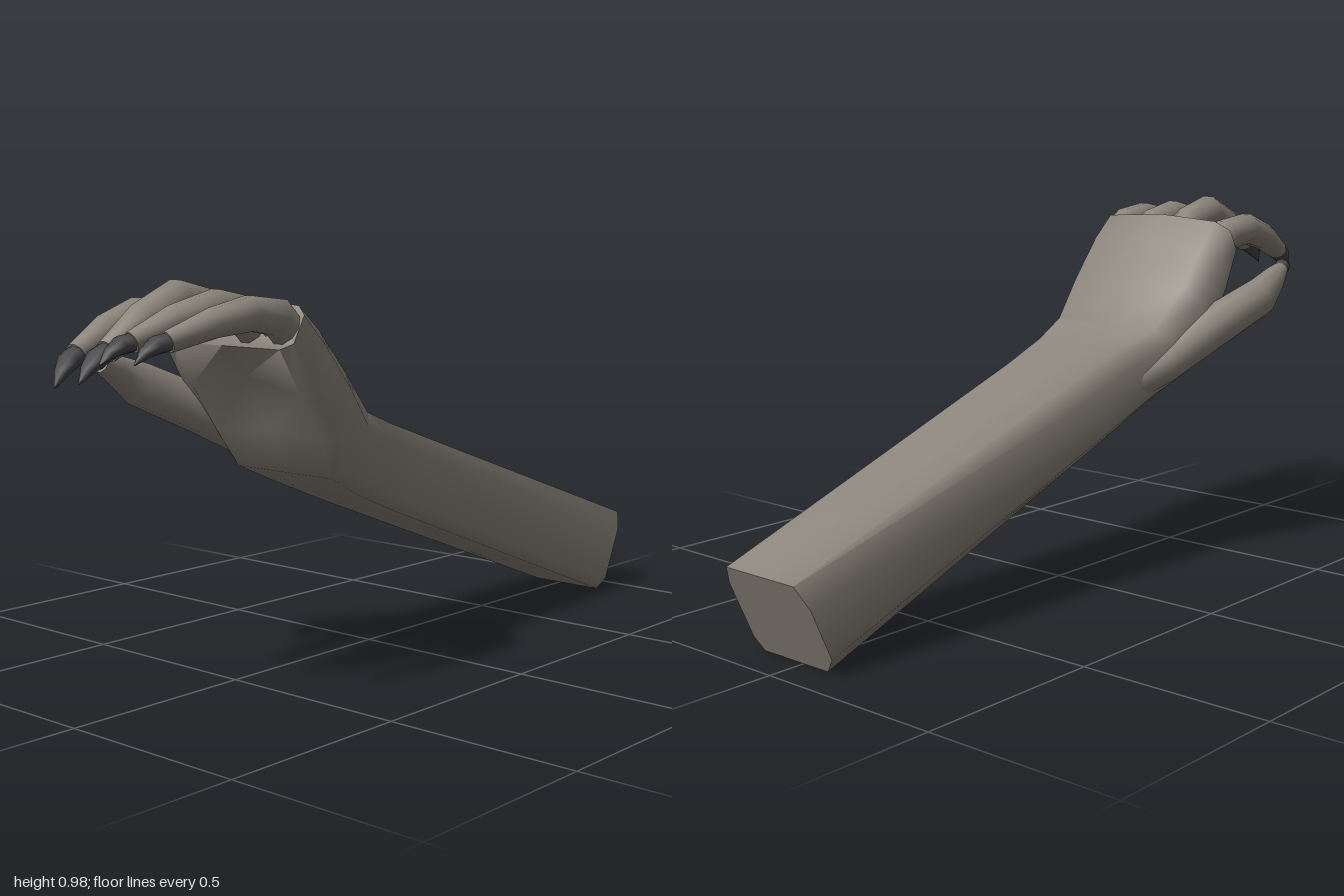
import * as THREE from 'three';
import { toCreasedNormals } from 'three/addons/utils/BufferGeometryUtils.js';

const skin = new THREE.MeshStandardMaterial({ color: 0x8c857b, roughness: 0.9 });
const horn = new THREE.MeshStandardMaterial({ color: 0x47464a, roughness: 0.8 });

// Closed surface through rings of points that run counter-clockwise around the advance
function loft(rings) {
  const n = rings[0].length, last = rings.length - 1;
  const pos = [], idx = [];
  rings.forEach(r => r.forEach(p => pos.push(p.x, p.y, p.z)));
  for (let i = 0; i < last; i++) {
    for (let j = 0; j < n; j++) {
      const a = i * n + j, b = i * n + (j + 1) % n;
      idx.push(a, b, b + n, a, b + n, a + n);
    }
  }
  for (const i of [0, last]) {
    const c = new THREE.Vector3();
    rings[i].forEach(p => c.addScaledVector(p, 1 / n));
    const k = pos.length / 3;
    pos.push(c.x, c.y, c.z);
    for (let j = 0; j < n; j++) {
      const a = i * n + j, b = i * n + (j + 1) % n;
      if (i === 0) idx.push(k, b, a); else idx.push(k, a, b);
    }
  }
  const g = new THREE.BufferGeometry();
  g.setAttribute('position', new THREE.Float32BufferAttribute(pos, 3));
  g.setIndex(idx);
  return toCreasedNormals(g, 1.1);
}

// Tapered limb along stations [x, y, z, halfWidth, halfHeight]
function limb(stations, sides = 10) {
  const pts = stations.map(s => new THREE.Vector3(s[0], s[1], s[2]));
  return loft(stations.map((s, i) => {
    const t = pts[Math.min(i + 1, pts.length - 1)].clone().sub(pts[Math.max(i - 1, 0)]).normalize();
    const side = new THREE.Vector3(1, 0, 0).addScaledVector(t, -t.x).normalize();
    const up = t.clone().cross(side);
    return Array.from({ length: sides }, (_, j) => {
      const a = j / sides * Math.PI * 2;
      return pts[i].clone().addScaledVector(side, Math.cos(a) * s[3]).addScaledVector(up, Math.sin(a) * s[4]);
    });
  }));
}

function add(parent, name, geometry, material) {
  const m = new THREE.Mesh(geometry, material);
  m.name = name;
  parent.add(m);
}

// Chamfered cross-section of arm and palm: across (0..1), bottom to top (0..1)
const section = [[0.13, 0], [0.5, 0], [0.92, 0], [1, 0.15], [1, 0.8], [0.94, 1], [0.5, 1], [0.1, 1], [0, 0.75], [0, 0.18]];

// Stations: [topZ, topY, bottomZ, bottomY, xMin, xMax, palm hollow, back-of-hand swell]
const armStations = [
  [-1.0, 0.23, -0.9, 0.005, -0.118, 0.157, 0, 0],
  [-0.02, 0.57, 0.08, 0.385, -0.134, 0.182, 0, 0],
  [0.13, 0.62, 0.24, 0.45, -0.138, 0.2, 0, 0],
  [0.25, 0.66, 0.37, 0.51, -0.165, 0.237, 0, 0],
  [0.36, 0.765, 0.43, 0.605, -0.185, 0.268, 0.02, 0],
  [0.465, 0.87, 0.52, 0.725, -0.175, 0.283, 0.03, 0.01],
  [0.535, 0.932, 0.59, 0.835, -0.16, 0.283, 0, 0.012],
];

// Per finger: stations [x, y, z, halfWidth, halfHeight], then claw tip [x, y, z]
const fingers = {
  indexFinger: [[
    [-0.112, 0.82, 0.5, 0.04, 0.04], [-0.113, 0.89, 0.59, 0.046, 0.046], [-0.115, 0.902, 0.69, 0.047, 0.044],
    [-0.108, 0.873, 0.79, 0.041, 0.038], [-0.095, 0.825, 0.89, 0.029, 0.027]], [-0.078, 0.757, 0.965]],
  middleFinger: [[
    [0.008, 0.83, 0.5, 0.04, 0.045], [0.013, 0.918, 0.59, 0.046, 0.05], [0.02, 0.943, 0.69, 0.052, 0.048],
    [0.025, 0.9, 0.8, 0.045, 0.042], [0.031, 0.84, 0.905, 0.029, 0.027]], [0.035, 0.775, 0.988]],
  ringFinger: [[
    [0.125, 0.83, 0.5, 0.04, 0.045], [0.138, 0.908, 0.59, 0.045, 0.048], [0.138, 0.929, 0.68, 0.045, 0.044],
    [0.122, 0.905, 0.79, 0.038, 0.036], [0.106, 0.863, 0.9, 0.025, 0.025]], [0.096, 0.82, 0.98]],
  littleFinger: [[
    [0.232, 0.83, 0.5, 0.042, 0.042], [0.24, 0.908, 0.59, 0.044, 0.046], [0.244, 0.921, 0.68, 0.041, 0.041],
    [0.235, 0.905, 0.78, 0.035, 0.034], [0.215, 0.869, 0.895, 0.024, 0.024]], [0.201, 0.825, 0.975]],
  thumb: [[
    [-0.08, 0.5, 0.16, 0.045, 0.05], [-0.13, 0.56, 0.28, 0.055, 0.055], [-0.18, 0.645, 0.42, 0.062, 0.06],
    [-0.238, 0.725, 0.585, 0.048, 0.056], [-0.226, 0.768, 0.67, 0.034, 0.036], [-0.216, 0.787, 0.72, 0.023, 0.024]],
    [-0.21, 0.79, 0.768]],
};

export function createModel() {
  const model = new THREE.Group();
  model.name = 'clawedArm';

  // Forearm, wrist and palm in one skin
  const rings = armStations.map(([tz, ty, bz, by, x0, x1, hollow, swell]) => section.map(([u, v]) => {
    const mid = u === 0.5 ? (v === 0 ? hollow : swell) : 0;
    return new THREE.Vector3(
      x0 + (x1 - x0) * u,
      by + (ty - by) * v + mid,
      bz + (tz - bz) * v - mid * 0.5);
  }));
  add(model, 'forearmAndPalm', loft(rings), skin);

  // Fingers and thumb, each with a claw continuing from its last station
  for (const [name, [stations, tip]] of Object.entries(fingers)) {
    const g = new THREE.Group();
    g.name = name;
    const end = stations[stations.length - 1];
    add(g, name + 'Flesh', limb(stations), skin);
    const claw = [[0, 0.95], [0.35, 0.98], [0.7, 0.62], [1, 0.08]].map(([t, w]) => [
      end[0] + (tip[0] - end[0]) * t,
      end[1] + (tip[1] - end[1]) * t + 0.012 * Math.sin(Math.PI * t),
      end[2] + (tip[2] - end[2]) * t,
      end[3] * w, end[4] * w * 0.9]);
    add(g, name + 'Claw', limb(claw, 8), horn);
    model.add(g);
  }

  // Webs of skin between neighbouring knuckles
  for (const x of [-0.05, 0.075, 0.19]) {
    add(model, 'fingerWeb', limb([
      [x, 0.85, 0.5, 0.03, 0.035], [x, 0.882, 0.55, 0.03, 0.035], [x, 0.892, 0.58, 0.02, 0.018]], 8), skin);
  }
  return model;
}
